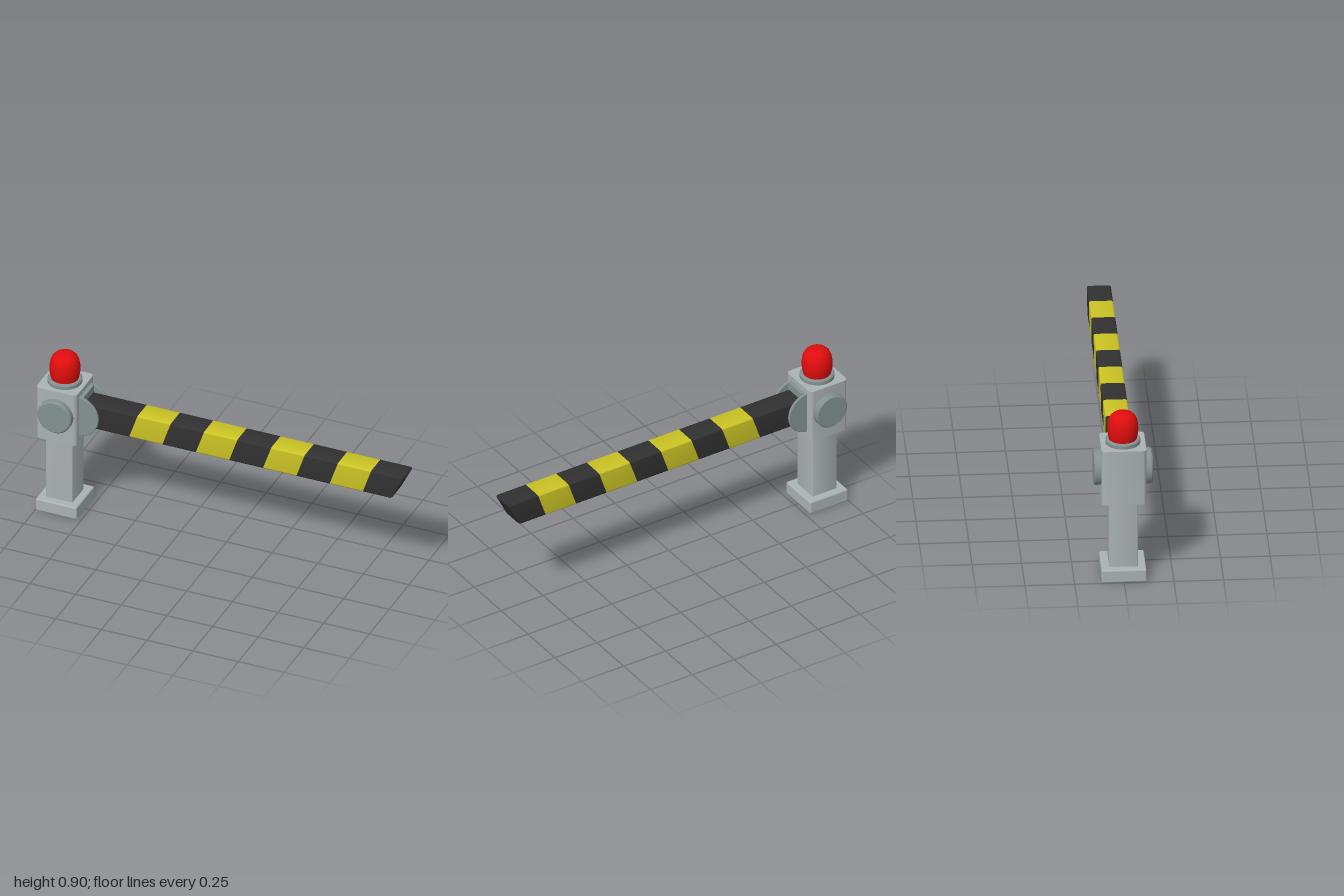
import * as THREE from 'three';
import { toCreasedNormals } from 'three/addons/utils/BufferGeometryUtils.js';
import { RoundedBoxGeometry } from 'three/addons/geometries/RoundedBoxGeometry.js';

const POST_X = -0.885;

function material(name, color) {
  const m = new THREE.MeshStandardMaterial({ color });
  m.name = name;
  return m;
}

// Rectangle with rounded corners, centred on the origin
function roundedRect(w, h, r) {
  const x = w / 2, y = h / 2, q = Math.PI / 2;
  const s = new THREE.Shape();
  s.absarc(x - r, y - r, r, 0, q);
  s.absarc(-x + r, y - r, r, q, 2 * q);
  s.absarc(-x + r, -y + r, r, 2 * q, 3 * q);
  s.absarc(x - r, -y + r, r, 3 * q, 4 * q);
  s.closePath();
  return s;
}

// Upright pillar with rounded vertical edges
function pillar(w, d, r, y0, y1) {
  const g = new THREE.ExtrudeGeometry(roundedRect(w, d, r), { depth: y1 - y0, bevelEnabled: false, curveSegments: 5 });
  g.rotateX(-Math.PI / 2).translate(POST_X, y0, 0);
  return toCreasedNormals(g, 0.6);
}

// Disc with chamfered rims, its axis on y from y0 to y1
function disc(r, y0, y1, c) {
  const profile = [[0, y0], [r - c, y0], [r, y0 + c], [r, y1 - c], [r - c, y1], [0, y1]];
  const g = new THREE.LatheGeometry(profile.map(p => new THREE.Vector2(...p)), 40);
  return toCreasedNormals(g, 0.5);
}

// Slice of the boom from x0 to x1 (at the top edge); slants move the lower edge back
function boomSlice(x0, x1, slant0, slant1, inset = 0) {
  const h = 0.138, w = 0.122, yMid = 0.599;
  const g = new THREE.ExtrudeGeometry(roundedRect(w, h, 0.01), { depth: 1, bevelEnabled: false, curveSegments: 3 });
  g.rotateY(Math.PI / 2);
  const p = g.attributes.position;
  for (let i = 0; i < p.count; i++) {
    const t = p.getX(i), y = p.getY(i), z = p.getZ(i);
    const k = 1 - inset * t;
    const drop = (h / 2 - y * k) / h;
    p.setXYZ(i, t < 0.5 ? x0 - slant0 * drop : x1 - slant1 * drop, yMid + y * k, z * k);
  }
  g.computeVertexNormals();
  return toCreasedNormals(g, 0.6);
}

export function createModel() {
  const grey = material('light grey paint', 0xaab2b4);
  const steel = material('green grey steel', 0x829290);
  const black = material('black paint', 0x313131);
  const yellow = material('yellow paint', 0xcac324);
  const red = material('red lamp', 0xe00d0d);

  const model = new THREE.Group();
  model.name = 'barrierGate';
  const add = (name, geometry, mat, parent = model) => {
    const mesh = new THREE.Mesh(geometry, mat);
    mesh.name = name;
    parent.add(mesh);
    return mesh;
  };

  // Post
  add('base', new RoundedBoxGeometry(0.226, 0.07, 0.226, 3, 0.008), grey).position.set(POST_X, 0.035, 0);
  add('column', pillar(0.146, 0.146, 0.006, 0.06, 0.45), grey);
  add('head', pillar(0.222, 0.226, 0.022, 0.437, 0.736), grey);

  // Warning lamp
  add('lampCollar', disc(0.088, 0.73, 0.76, 0.006), steel).position.x = POST_X;
  const dome = [[0.07, 0.755], [0.073, 0.77], [0.077, 0.79], [0.078, 0.81], [0.077, 0.835], [0.073, 0.858],
    [0.064, 0.879], [0.05, 0.893], [0.032, 0.901], [0.014, 0.903], [0, 0.903]];
  add('lampDome', new THREE.LatheGeometry(dome.map(p => new THREE.Vector2(...p)), 40), red).position.x = POST_X;

  // Pivot caps, front and back
  for (const side of [1, -1]) {
    const cap = add(side > 0 ? 'frontPivotCap' : 'backPivotCap', disc(0.092, 0.1, 0.148, 0.007), steel);
    cap.rotation.x = side * Math.PI / 2;
    cap.position.set(-0.882, 0.6, 0);
  }

  // Bracket: half-round cheeks on a back plate
  const bracket = new THREE.Group();
  bracket.name = 'bracket';
  model.add(bracket);
  for (const side of [1, -1]) {
    const cheek = add(side > 0 ? 'frontCheek' : 'backCheek', disc(0.115, -0.0075, 0.0075, 0.003), steel, bracket);
    cheek.rotation.x = Math.PI / 2;
    cheek.position.set(-0.785, 0.595, side * 0.0705);
  }
  add('backPlate', new THREE.BoxGeometry(0.03, 0.226, 0.13), steel, bracket).position.set(-0.768, 0.595, 0);

  // Striped boom with a slanted tip
  const boom = new THREE.Group();
  boom.name = 'boom';
  model.add(boom);
  const cuts = [-0.765, -0.461, -0.279, -0.096, 0.087, 0.272, 0.455, 0.637, 0.819, 0.99];
  const slants = cuts.map((_, i) => (i === 0 ? 0 : i === cuts.length - 1 ? 0.067 : 0.047));
  for (let i = 0; i < cuts.length - 1; i++) {
    add('stripe' + (i + 1), boomSlice(cuts[i], cuts[i + 1], slants[i], slants[i + 1]), i % 2 ? yellow : black, boom);
  }
  add('boomTip', boomSlice(0.99, 0.998, 0.067, 0.07, 0.08), black, boom);

  return model;
}
